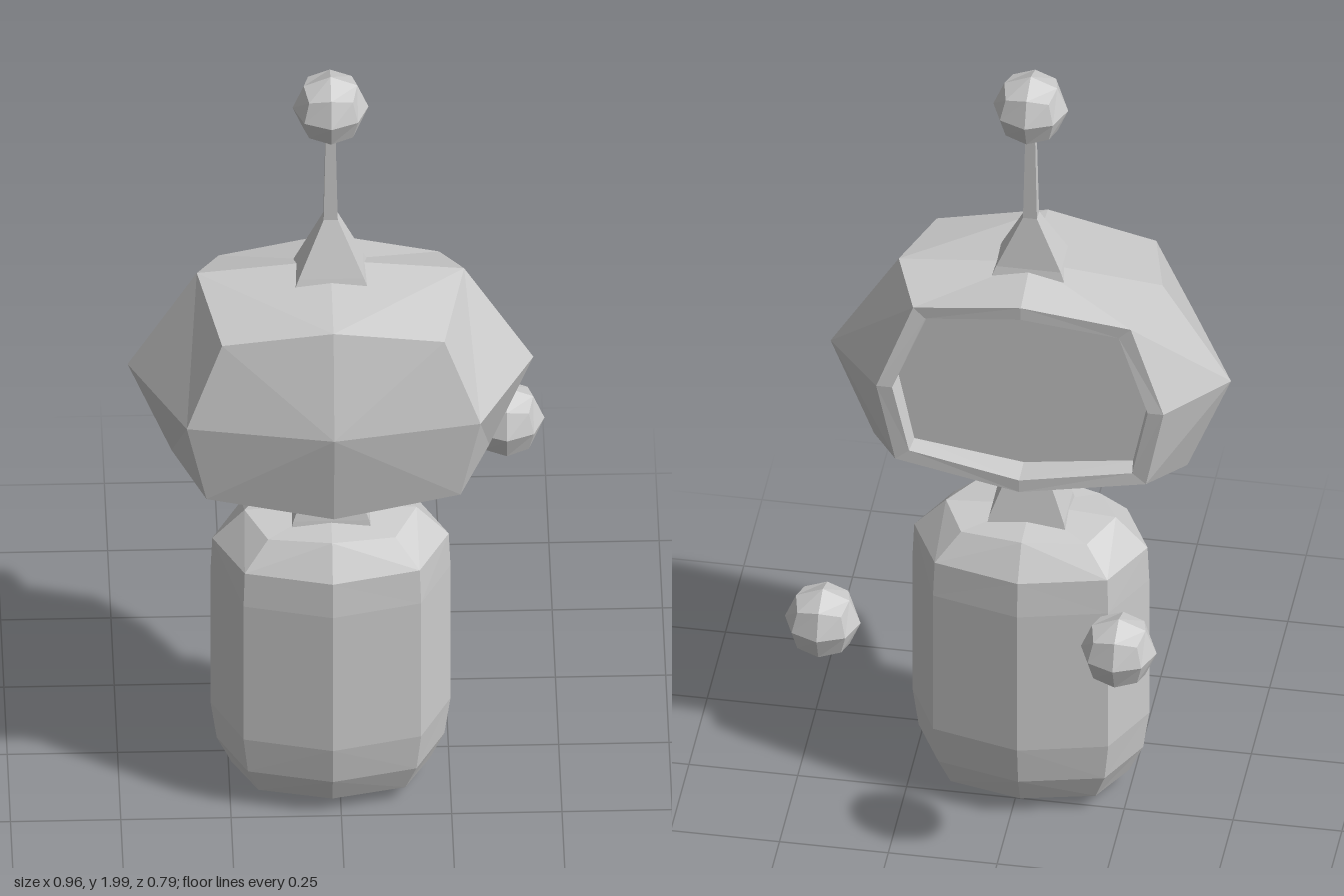
import * as THREE from 'three';

const CX = -0.02, CZ = 0.093; // axis of the figure
const material = new THREE.MeshStandardMaterial({ color: 0xcccccc, flatShading: true });

// Skin a list of rings (equal point counts), closed at both ends by a centre point.
function loft(name, start, rings, end) {
  const n = rings[0].length, pos = [];
  const tri = (a, b, c) => pos.push(...a, ...b, ...c);
  const last = rings[rings.length - 1];
  for (let j = 0; j < n; j++) {
    const k = (j + 1) % n;
    tri(start, rings[0][k], rings[0][j]);
    for (let i = 0; i + 1 < rings.length; i++) {
      const a = rings[i][j], b = rings[i][k], c = rings[i + 1][k], d = rings[i + 1][j];
      if (j % 2) { tri(a, b, c); tri(a, c, d); } else { tri(a, b, d); tri(b, c, d); }
    }
    tri(last[j], last[k], end);
  }
  const geo = new THREE.BufferGeometry();
  geo.setAttribute('position', new THREE.Float32BufferAttribute(pos, 3));
  geo.computeVertexNormals();
  const mesh = new THREE.Mesh(geo, material);
  mesh.name = name;
  return mesh;
}

// Mirrored eight-point ring across the head: top, upper corner, side, lower corner, bottom.
function headRing(half) {
  const [t, uc, s, lc, b] = half;
  const m = ([x, y, z]) => [-x, y, z];
  return [s, uc, t, m(uc), m(s), m(lc), b, lc].map(([x, y, z]) => [CX + x, y, z]);
}

// Horizontal eight-point body ring; the corners sit a little lower or higher by drop.
function bodyRing([y, hx, hz, drop = 0]) {
  const u = 0.74;
  return [[1, 0], [u, -u], [0, -1], [-u, -u], [-1, 0], [-u, u], [0, 1], [u, u]]
    .map(([x, z]) => [CX + x * hx, y - (x && z ? drop : 0), CZ + z * hz]);
}

// Horizontal four-cornered ring.
const squareRing = ([y, hx, z0, z1]) =>
  [[CX + hx, y, z1], [CX + hx, y, z0], [CX - hx, y, z0], [CX - hx, y, z1]];

// Faceted ball: a 2x2 divided cube pushed out to a sphere.
function ball(name, x, y, z, r) {
  const geo = new THREE.BoxGeometry(2, 2, 2, 2, 2, 2);
  const p = geo.attributes.position, v = new THREE.Vector3();
  for (let i = 0; i < p.count; i++) {
    v.fromBufferAttribute(p, i).setLength(r);
    p.setXYZ(i, v.x, v.y, v.z);
  }
  geo.computeVertexNormals();
  const mesh = new THREE.Mesh(geo, material);
  mesh.position.set(x, y, z);
  mesh.name = name;
  return mesh;
}

export function createModel() {
  const model = new THREE.Group();
  model.name = 'robot';

  // Head, skinned from the recessed back panel to the bulging front
  const back = [[0, 1.444, -0.046], [0.25, 1.402, -0.03], [0.33, 1.19, -0.058],
    [0.288, 0.98, -0.048], [0, 0.937, -0.069]];
  const rim = back.map(([x, y, z]) => [x * 0.89, 1.19 + (y - 1.19) * 0.87, z]);
  const panel = rim.map(([x, y]) => [x * 0.98, 1.19 + (y - 1.19) * 0.98, -0.005]);
  const middle = [[0, 1.475, 0.09], [0.303, 1.445, 0.09], [0.46, 1.19, 0.092],
    [0.36, 0.94, 0.09], [0, 0.87, 0.09]];
  const front = [[0, 1.445, 0.326], [0.252, 1.402, 0.307], [0.333, 1.19, 0.338],
    [0.288, 0.98, 0.326], [0, 0.938, 0.355]];
  model.add(loft('head', [CX, 1.19, -0.005],
    [panel, rim, back, middle, front].map(headRing), [CX, 1.19, 0.395]));

  // Body
  const bodyRings = [
    [0.022, 0.15, 0.075], [0.05, 0.225, 0.145], [0.12, 0.258, 0.175], [0.22, 0.272, 0.19],
    [0.6, 0.272, 0.19], [0.69, 0.268, 0.183], [0.768, 0.195, 0.13, 0.012],
  ].map(bodyRing);
  model.add(loft('body', [CX, 0.01, CZ], bodyRings, [CX, 0.782, CZ]));

  // Neck
  const neckRings = [[0.74, 0.095, 0.025, 0.162], [0.78, 0.086, 0.033, 0.155],
    [0.88, 0.05, 0.053, 0.133], [0.92, 0.045, 0.057, 0.128]].map(squareRing);
  model.add(loft('neck', [CX, 0.74, CZ], neckRings, [CX, 0.92, CZ]));

  // Antenna: flared foot, thin rod and ball tip
  const antennaRings = [[1.44, 0.088, 0.05, 0.172], [1.475, 0.074, 0.06, 0.16],
    [1.605, 0.016, 0.08, 0.11], [1.85, 0.011, 0.083, 0.105]].map(squareRing);
  model.add(loft('antenna', [CX, 1.44, 0.1], antennaRings, [CX, 1.85, CZ]));
  model.add(ball('antennaTip', CX, 1.914, 0.092, 0.086));

  // Floating hands
  model.add(ball('rightHand', -0.29, 0.705, -0.312, 0.087));
  model.add(ball('leftHand', 0.39, 0.705, -0.312, 0.087));

  return model;
}
